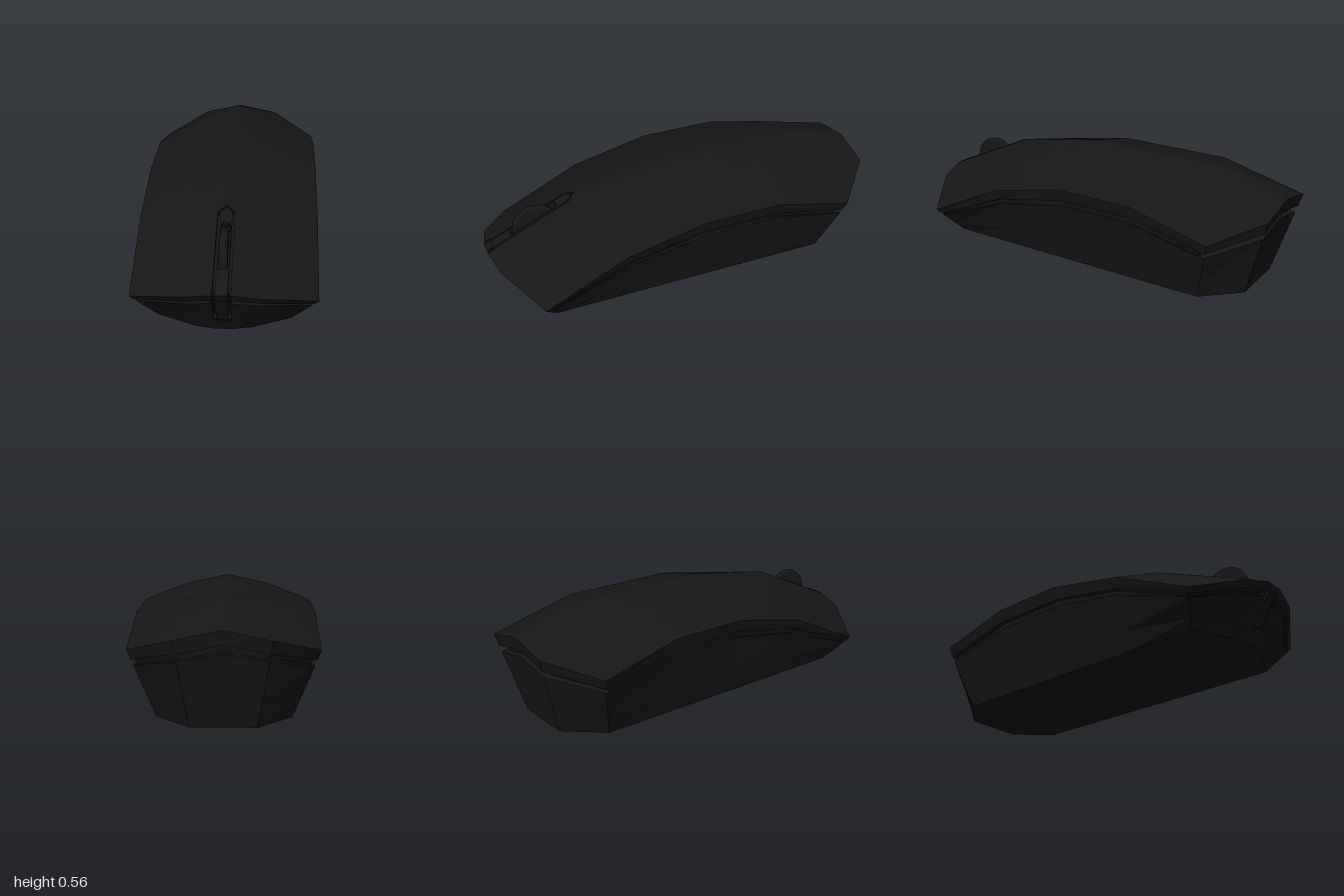
import * as THREE from 'three';

const shellMat = new THREE.MeshStandardMaterial({ color: 0x161616, side: THREE.DoubleSide });
const baseMat = new THREE.MeshStandardMaterial({ color: 0x161616, side: THREE.DoubleSide, flatShading: true });

// Half of the top surface, front to back; each row runs from the centre line to the side edge
const rows = [
  [[0, 0.26, 1], [0.04, 0.26, 1], [0.18, 0.23, 0.97], [0.43, 0.14, 0.82]],
  [[0, 0.475, 0.53], [0.04, 0.457, 0.57], [0.21, 0.43, 0.48], [0.43, 0.34, 0.4]],
  [[0, 0.56, 0.02], [0.04, 0.552, 0.02], [0.215, 0.515, 0.01], [0.43, 0.43, 0]],
  [[0, 0.56, -0.68], [0.04, 0.552, -0.67], [0.215, 0.515, -0.57], [0.43, 0.43, -0.4]],
  [[0, 0.455, -1], [0.04, 0.447, -1], [0.21, 0.41, -1], [0.43, 0.33, -0.8]],
];
// Half of the bottom outline as [x, z], from front centre round to back centre
const bottomHalf = [[0, 0.85], [0.04, 0.85], [0.13, 0.83], [0.31, 0.74], [0.31, 0.36], [0.31, 0],
  [0.31, -0.36], [0.31, -0.71], [0.15, -0.88], [0.03, -0.88], [0, -0.88]];

const mirror = ([x, y, z]) => [-x, y, z];
const closeRing = half => [...half, ...half.slice(1, -1).reverse().map(mirror)];

function mesh(name, geometry, material) {
  const m = new THREE.Mesh(geometry, material);
  m.name = name;
  return m;
}

function buildGeometry(points, index) {
  const g = new THREE.BufferGeometry();
  g.setAttribute('position', new THREE.Float32BufferAttribute(points.flat(), 3));
  g.setIndex(index);
  g.computeVertexNormals();
  return g;
}

// Smooth top cover, left open where the wheel channel runs
function topCover() {
  const points = rows.flatMap(r => [...r.slice(1).reverse().map(mirror), ...r]);
  const index = [];
  for (let r = 0; r < 4; r++) {
    for (let c = 0; c < 6; c++) {
      if (r === 0 && (c === 2 || c === 3)) continue;
      const a = r * 7 + c, b = a + 1, d = a + 7, e = d + 1;
      if (c < 3) index.push(a, b, d, b, e, d);
      else index.push(a, b, e, a, e, d);
    }
  }
  return buildGeometry(points, index);
}

// Outline of the cover and of the bottom, and rings between the two
const edge = closeRing([...rows[0], ...rows.slice(1, 4).map(r => r[3]), ...[...rows[4]].reverse()]);
const bottom = closeRing(bottomHalf.map(([x, z]) => [x, 0, z]));
const ring = (t, inset = 0, tip = t) => edge.map((p, i) => {
  const f = i === 0 ? tip : t;
  const q = p.map((v, k) => v + (bottom[i][k] - v) * f);
  return [q[0] * (1 - inset), q[1], q[2] * (1 - inset)];
});

// Walls between successive rings, skipping the front channel in the first openBands bands
function walls(rings, openBands, capped) {
  const points = rings.flat(), n = edge.length, index = [];
  for (let k = 0; k < rings.length - 1; k++) {
    for (let i = 0; i < n; i++) {
      if (k < openBands && (i === 0 || i === n - 1)) continue;
      const j = (i + 1) % n, a = k * n, b = a + n;
      index.push(b + i, b + j, a + j, b + i, a + j, a + i);
    }
  }
  if (capped) {
    const last = (rings.length - 1) * n;
    points.push([0, 0, 0]);
    for (let i = 0; i < n; i++) index.push(points.length - 1, last + (i + 1) % n, last + i);
  }
  return buildGeometry(points, index);
}

// Pointed strip outline: half width w, from y = start to shoulder, ending in a tip
const strip = (w, start, shoulder, tip) =>
  [[-w, start], [w, start], [w, shoulder], [0, tip], [-w, shoulder]].map(p => new THREE.Vector2(...p));

function plate(points, z, depth, hole) {
  const shape = new THREE.Shape(points);
  if (hole) shape.holes.push(new THREE.Path(hole));
  return new THREE.ExtrudeGeometry(shape, { depth, bevelEnabled: false }).translate(0, 0, z);
}

// One arm of the channel: walls, floor and the inlay that leaves a thin gap on each side
function channelArm(name, dir, shoulder, tip, angle, hole) {
  const g = new THREE.Group();
  g.name = name;
  const outer = strip(0.045, 0, shoulder + 0.003, tip + 0.005), inner = strip(0.04, 0, shoulder, tip);
  const rim = [outer[1], outer[2], outer[3], outer[4], outer[0], inner[0], inner[4], inner[3], inner[2], inner[1]];
  const place = pts => pts.map(p => new THREE.Vector2(p.x, p.y * dir));
  g.add(
    mesh('channelWall', plate(place(rim), -0.04, 0.036), baseMat),
    mesh('channelFloor', plate(place(strip(0.042, 0.035, shoulder, tip)), -0.05, 0.015), baseMat),
    mesh('channelInlay', plate(place(strip(0.028, 0, shoulder - 0.005, tip - 0.016)), -0.04, 0.04, hole), baseMat),
  );
  g.position.set(0, 0.26, 1);
  g.rotation.x = angle;
  return g;
}

function scrollWheel() {
  const profile = [[0, -0.019], [0.108, -0.019], [0.117, -0.013], [0.12, 0], [0.117, 0.013], [0.108, 0.019], [0, 0.019]];
  const g = new THREE.LatheGeometry(profile.map(p => new THREE.Vector2(...p)), 40).rotateZ(Math.PI / 2);
  const wheel = mesh('scrollWheel', g, shellMat);
  wheel.position.set(0, 0.325, 0.74);
  return wheel;
}

export function createModel() {
  const model = new THREE.Group();
  model.name = 'computerMouse';
  model.add(
    mesh('topCover', topCover(), shellMat),
    mesh('coverLip', walls([ring(0), ring(0.15), ring(0.15, 0.04)], 2), baseMat),
    mesh('seamGroove', walls([ring(0.15, 0.04), ring(0.23, 0.04), ring(0.23)], 2), baseMat),
    mesh('base', walls([ring(0.23), ring(0.72, 0, 0.78), ring(1)], 1, true), baseMat),
  );

  // Wheel channel runs down the top and over the nose
  const slot = [[-0.02, 0.143], [-0.02, 0.4], [-0.013, 0.41], [0.013, 0.41], [0.02, 0.4], [0.02, 0.143]]
    .map(p => new THREE.Vector2(...p));
  model.add(
    channelArm('topChannel', 1, 0.473, 0.517, Math.atan2(-0.47, 0.215), slot),
    channelArm('frontChannel', -1, 0.216, 0.234, Math.atan2(0.15, 0.26)),
    scrollWheel(),
  );
  return model;
}
